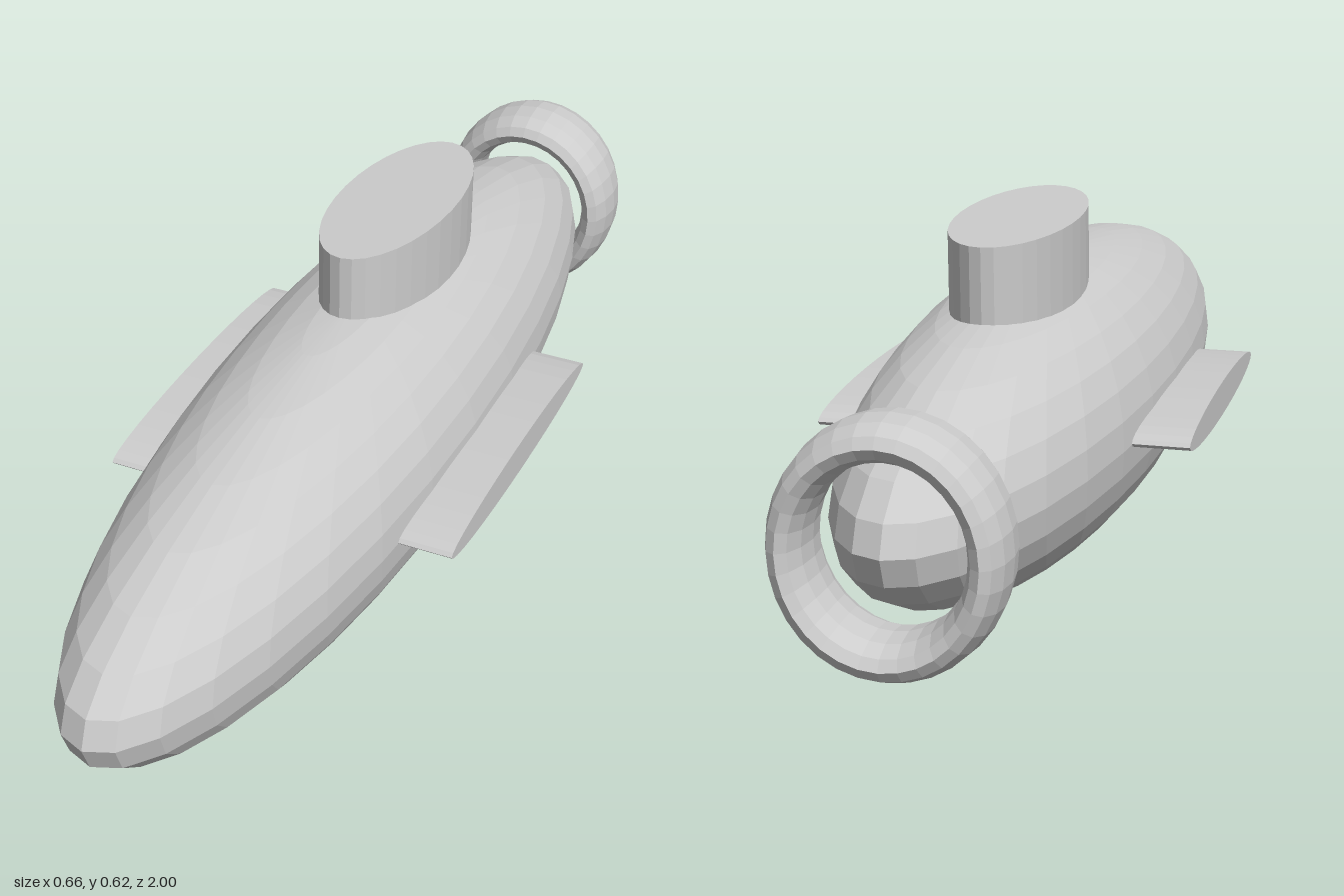
import * as THREE from 'three';

export function createModel() {
  const model = new THREE.Group();
  const material = new THREE.MeshStandardMaterial({ color: 0xcccccc, flatShading: true });
  const axisY = 0.25;

  function addPart(name, geometry, x, y, z) {
    const mesh = new THREE.Mesh(geometry, material);
    mesh.name = name;
    mesh.position.set(x, y, z);
    model.add(mesh);
    return mesh;
  }

  // Long ellipsoid hull
  addPart('hull', new THREE.SphereGeometry(1, 32, 16).scale(0.246, 0.248, 0.99), 0, axisY, 0.01);

  // Oval tower, leaning very slightly back
  const tower = addPart('tower', new THREE.CylinderGeometry(1, 1, 0.28, 32).scale(0.107, 1, 0.255), 0, 0.469, -0.18);
  tower.rotation.x = -0.033;

  // Thin elliptical side fins, rooted inside the hull
  const finGeometry = new THREE.CylinderGeometry(1, 1, 0.2, 32)
    .rotateZ(Math.PI / 2)
    .scale(1, 0.032, 0.328);
  for (const side of [1, -1]) {
    addPart(side > 0 ? 'leftFin' : 'rightFin', finGeometry, side * 0.23, 0.251, 0.005);
  }

  // Tail ring, slightly taller than wide, deep along the hull
  const tube = 0.035;
  addPart('tailRing', new THREE.TorusGeometry(0.168, tube, 12, 32).scale(0.915, 1, 0.08 / tube), 0, 0.253, -0.92);

  return model;
}
